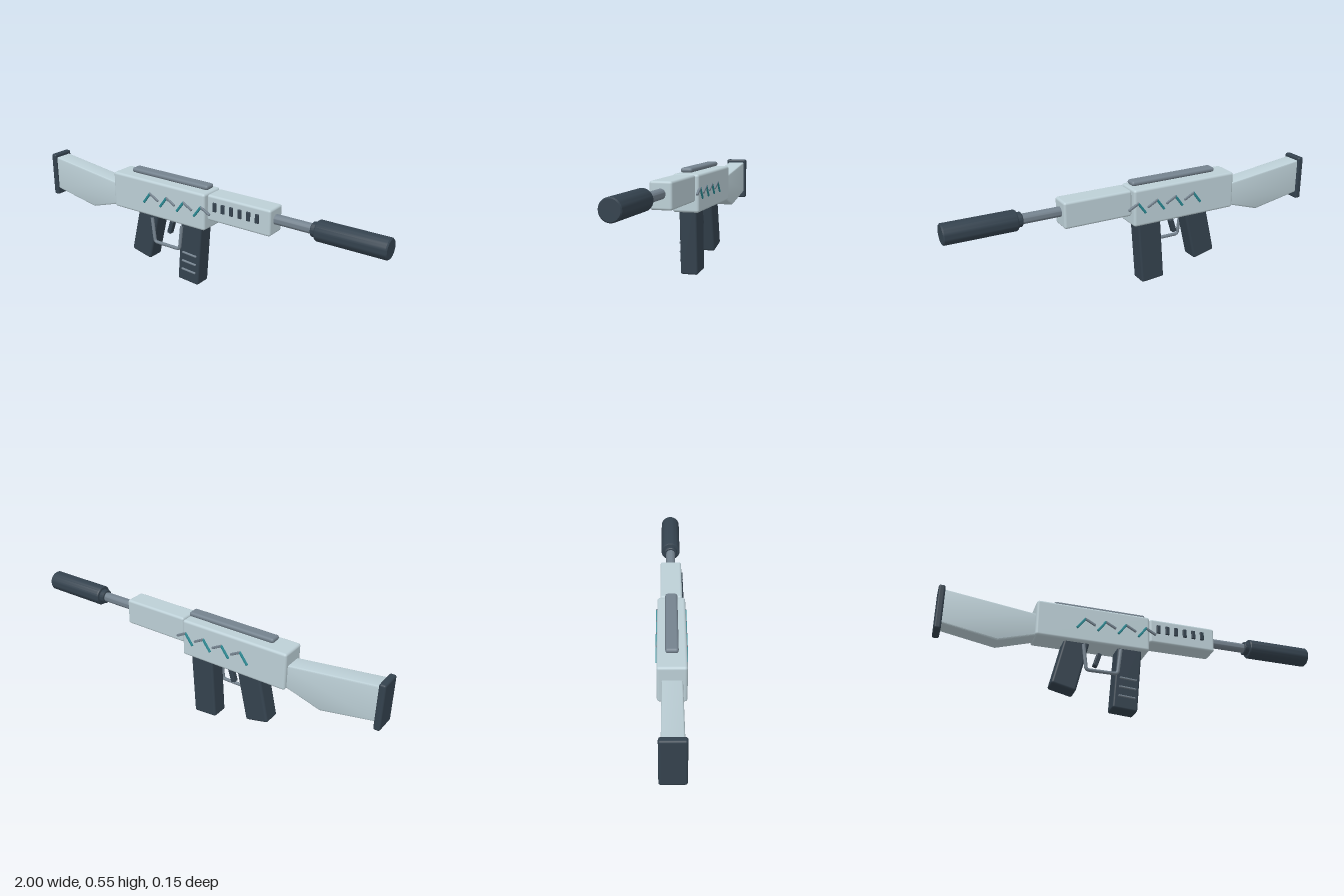
import * as THREE from 'three';
import { RoundedBoxGeometry } from 'three/addons/geometries/RoundedBoxGeometry.js';
import { toCreasedNormals } from 'three/addons/utils/BufferGeometryUtils.js';

const mat = (color) => new THREE.MeshStandardMaterial({ color });

export function createModel() {
  const model = new THREE.Group();
  const pale = mat(0xbccfd6), dark = mat(0x34424e), grey = mat(0x74828e), teal = mat(0x2a8a94);

  const add = (name, geometry, material, x = 0, y = 0, z = 0, tilt = 0) => {
    const mesh = new THREE.Mesh(geometry, material);
    mesh.name = name;
    mesh.position.set(x, y, z);
    mesh.rotation.z = tilt;
    model.add(mesh);
    return mesh;
  };
  const box = (w, h, d, r) => new RoundedBoxGeometry(w, h, d, 3, r);

  // Body
  add('receiver', box(0.588, 0.193, 0.138, 0.013), pale, -0.23, 0.427, 0);
  add('handguard', box(0.36, 0.134, 0.11, 0.012), pale, 0.25, 0.456, 0);
  add('topRail', box(0.483, 0.025, 0.06, 0.012), grey, -0.188, 0.542, 0);

  // Stock: bevelled side profile
  const profile = [[-0.98, 0.513], [-0.5, 0.453], [-0.5, 0.342], [-0.7, 0.28], [-0.98, 0.331]];
  const bevel = 0.008;
  const stock = new THREE.ExtrudeGeometry(
    new THREE.Shape(profile.map(([x, y]) => new THREE.Vector2(x, y))),
    { depth: 0.096 - 2 * bevel, bevelSize: bevel, bevelThickness: bevel, bevelOffset: -bevel, bevelSegments: 3 });
  add('stock', toCreasedNormals(stock, 0.6), pale, 0, 0, -0.048 + bevel);
  add('buttPad', box(0.033, 0.236, 0.118, 0.01), dark, -0.983, 0.411, 0);

  // Barrel and suppressor, turned about the x axis
  const turned = (points) => toCreasedNormals(
    new THREE.LatheGeometry(points.map(([r, x]) => new THREE.Vector2(r, x)), 40), 0.6).rotateZ(-Math.PI / 2);
  add('barrel', turned([[0, 0.4], [0.025, 0.4], [0.025, 0.64], [0, 0.64]]), grey, 0, 0.464, 0);
  add('suppressor', turned([
    [0, 0.624], [0.032, 0.624], [0.036, 0.628], [0.036, 0.648], [0.047, 0.65],
    [0.051, 0.656], [0.051, 0.994], [0.046, 1], [0, 1],
  ]), dark, 0, 0.464, 0);

  // Grip, magazine and trigger
  add('grip', box(0.127, 0.32, 0.094, 0.012), dark, -0.333, 0.239, 0, -0.23);
  const magTilt = -0.07;
  add('magazine', box(0.128, 0.38, 0.091, 0.01), dark, -0.045, 0.195, 0, magTilt);
  for (const y of [0.168, 0.12, 0.072]) {
    add('magazineRib', box(0.088, 0.009, 0.012, 0.003), grey, -0.047 + (y - 0.12) * 0.07, y, 0.048, magTilt);
  }
  add('trigger', box(0.024, 0.076, 0.03, 0.005), dark, -0.194, 0.269, 0, -0.3);

  // Trigger guard: bent rod with softened corners
  const v = (x, y) => new THREE.Vector3(x, y, 0.055);
  const guard = new THREE.CurvePath();
  guard.add(new THREE.LineCurve3(v(-0.279, 0.32), v(-0.264, 0.2)));
  guard.add(new THREE.QuadraticBezierCurve3(v(-0.264, 0.2), v(-0.262, 0.185), v(-0.247, 0.185)));
  guard.add(new THREE.LineCurve3(v(-0.247, 0.185), v(-0.117, 0.185)));
  guard.add(new THREE.QuadraticBezierCurve3(v(-0.117, 0.185), v(-0.102, 0.185), v(-0.1, 0.2)));
  guard.add(new THREE.LineCurve3(v(-0.1, 0.2), v(-0.086, 0.32)));
  add('triggerGuard', new THREE.TubeGeometry(guard, 60, 0.009, 10), grey);

  // Vents on the front face of the handguard
  for (let i = 0; i < 6; i++) {
    add('vent', box(0.021, 0.047, 0.012, 0.004), dark, 0.117 + i * 0.0485, 0.467, 0.056);
  }

  // Raised chevrons on both sides of the receiver
  const stroke = (name, x1, y1, x2, y2, z, material) => add(
    name, box(Math.hypot(x2 - x1, y2 - y1) + 0.008, 0.012, 0.012, 0.003), material,
    (x1 + x2) / 2, (y1 + y2) / 2, z, Math.atan2(y2 - y1, x2 - x1));
  for (const side of [1, -1]) {
    for (let i = 0; i < 4; i++) {
      const x = -0.277 + i * 0.107;
      stroke('chevronRise', x - 0.04, 0.402, x, 0.455, side * 0.07, teal);
      stroke('chevronFall', x, 0.455, x + 0.05, 0.428, side * 0.07, grey);
    }
  }

  return model;
}
